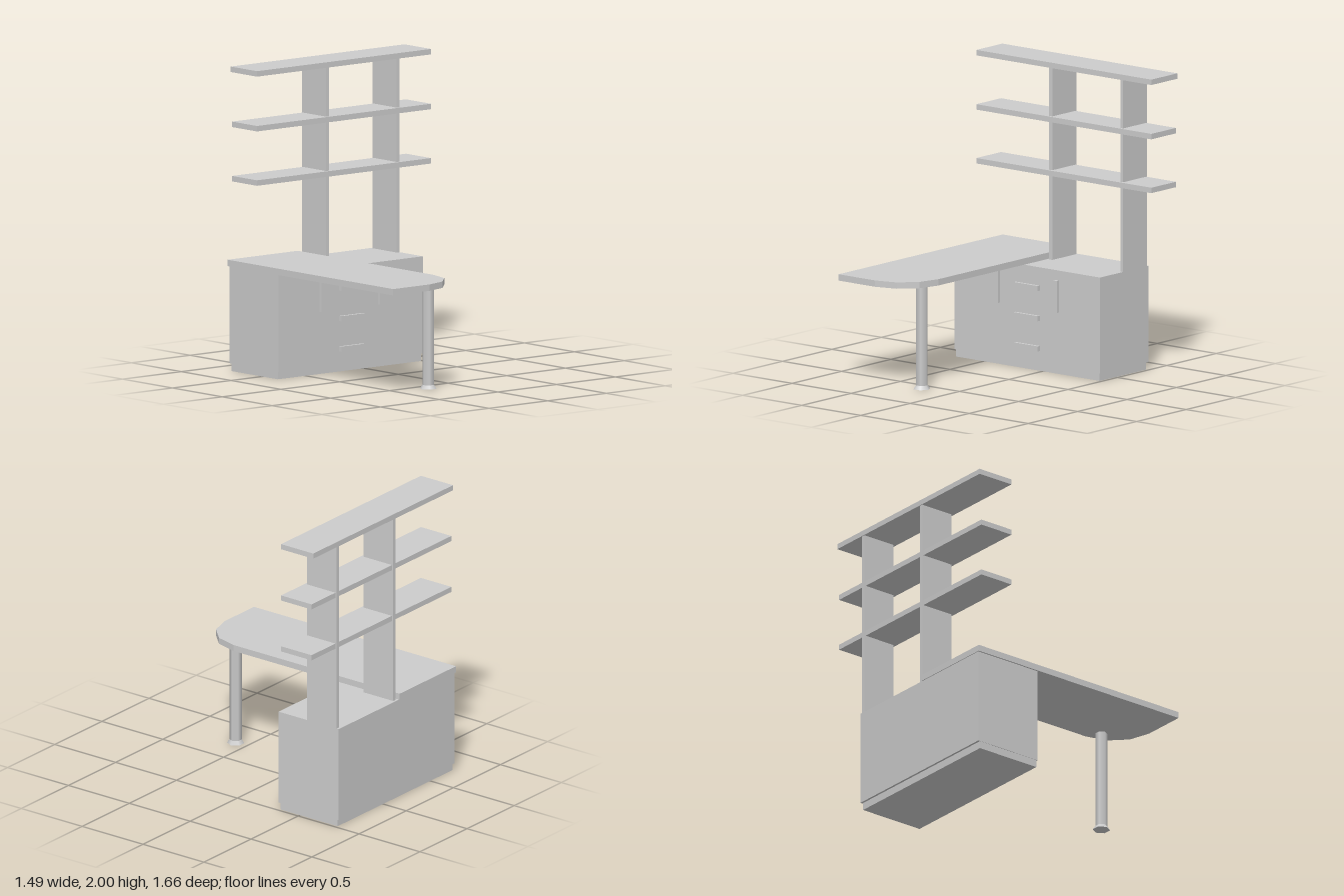
import * as THREE from 'three';

const material = new THREE.MeshStandardMaterial({ color: 0xcccccc });

function add(group, name, geometry) {
  const mesh = new THREE.Mesh(geometry, material);
  mesh.name = name;
  group.add(mesh);
  return mesh;
}

// Box given by its extents on each axis
function box(group, name, [x0, x1], [y0, y1], [z0, z1]) {
  const mesh = add(group, name, new THREE.BoxGeometry(x1 - x0, y1 - y0, z1 - z0));
  mesh.position.set((x0 + x1) / 2, (y0 + y1) / 2, (z0 + z1) / 2);
}

export function createModel() {
  const model = new THREE.Group();
  model.name = 'deskWithShelves';

  // Cabinet on a recessed plinth
  box(model, 'plinth', [-0.735, 0.482], [0, 0.05], [-0.81, -0.342]);
  box(model, 'cabinet', [-0.738, 0.492], [0.05, 0.688], [-0.825, -0.333]);

  // Door and drawer handles
  const handleZ = [-0.333, -0.312];
  for (const x of [-0.372, 0.127]) {
    box(model, 'doorHandle', [x - 0.017, x + 0.017], [0.41, 0.622], handleZ);
  }
  for (const y of [0.15, 0.35, 0.55]) {
    box(model, 'drawerHandle', [-0.22, -0.018], [y - 0.017, y + 0.017], handleZ);
  }

  // Uprights and shelves
  box(model, 'upright', [-0.134, -0.108], [0.688, 1.964], [-0.81, -0.567]);
  box(model, 'upright', [0.468, 0.492], [0.688, 1.964], [-0.81, -0.567]);
  for (const [y, back] of [[1.247, -0.8], [1.604, -0.8], [1.964, -0.814]]) {
    box(model, 'shelf', [-0.737, 0.745], [y, y + 0.036], [back, -0.55]);
  }

  // Desk top with one faceted round corner, drawn in (x, -z) and laid flat
  const outline = [
    [-0.748, 0.83], [-0.748, -0.83], [-0.44, -0.83], [-0.292, -0.789],
    [-0.188, -0.683], [-0.15, -0.535], [-0.15, 0.83],
  ].map(([x, y]) => new THREE.Vector2(x, y));
  const topGeometry = new THREE.ExtrudeGeometry(new THREE.Shape(outline), { depth: 0.042, bevelEnabled: false });
  topGeometry.rotateX(-Math.PI / 2);
  add(model, 'deskTop', topGeometry).position.y = 0.688;

  // Six-sided leg with a flared foot
  const leg = new THREE.Group();
  leg.name = 'leg';
  leg.position.set(-0.245, 0, 0.59);
  leg.rotation.y = Math.PI / 2;
  add(leg, 'legPost', new THREE.CylinderGeometry(0.04, 0.04, 0.665, 6)).position.y = 0.3565;
  add(leg, 'legFoot', new THREE.CylinderGeometry(0.04, 0.057, 0.025, 6)).position.y = 0.0125;
  model.add(leg);

  return model;
}
